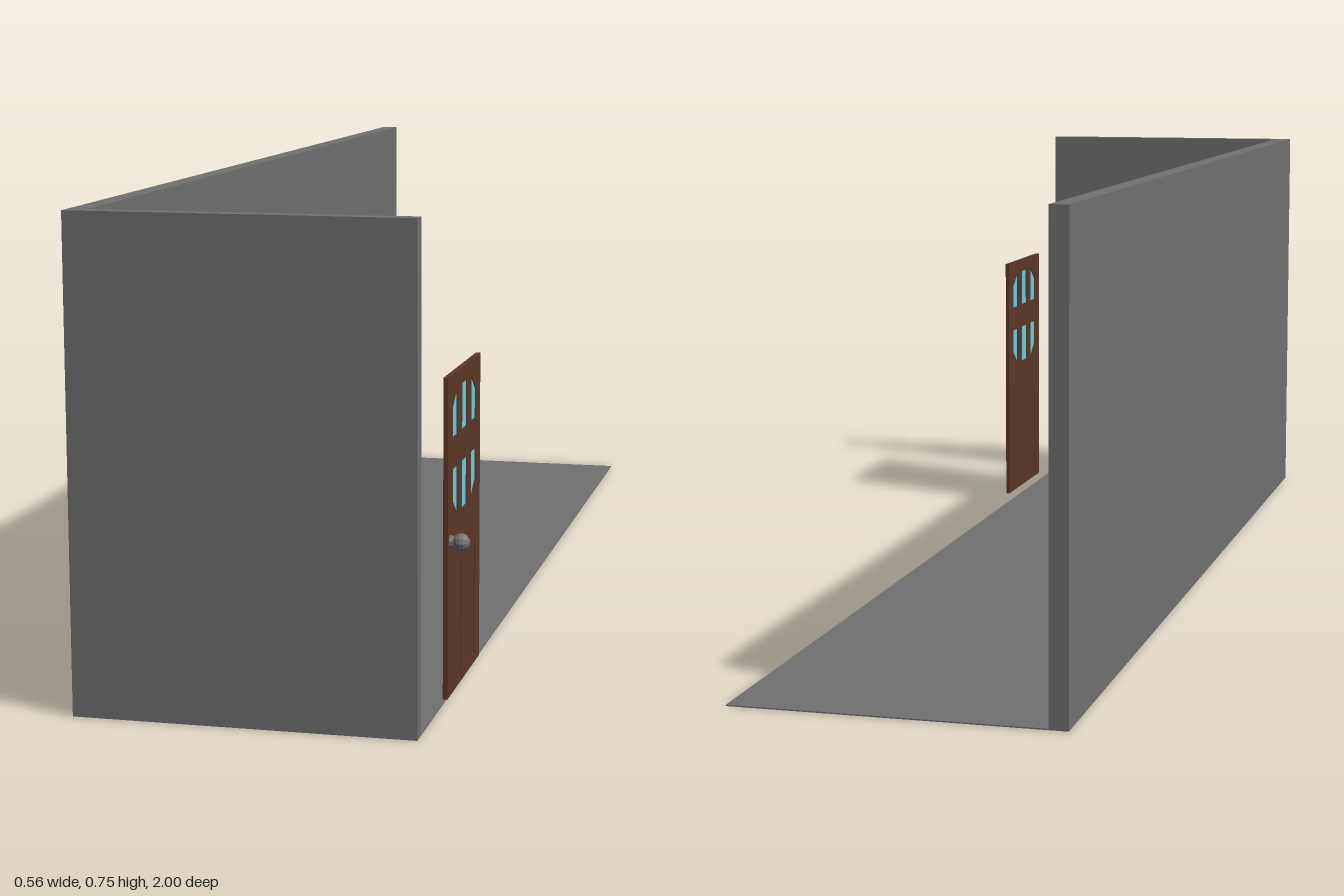
import * as THREE from 'three';

const material = (color) => new THREE.MeshStandardMaterial({ color, flatShading: true });

function add(parent, name, geometry, mat) {
  const mesh = new THREE.Mesh(geometry, mat);
  mesh.name = name;
  parent.add(mesh);
  return mesh;
}

const polygon = (points) => new THREE.Shape(points.map(([x, y]) => new THREE.Vector2(x, y)));
const extrude = (shape, depth) => new THREE.ExtrudeGeometry(shape, { depth, bevelEnabled: false });
const rectangle = (x0, x1, y0, y1) => [[x0, y0], [x1, y0], [x1, y1], [x0, y1]];

// Door lies in its own x/y plane, facing +z, centred on x
function createDoor(grey) {
  const door = new THREE.Group();
  door.name = 'door';
  const wood = material(0x5c3828);
  const glass = material(0x66d0e4);
  const thickness = 0.007;

  // Six panes: the four outer ones have a slanted outer corner
  const panes = [];
  for (const [inner, corner, outer] of [[0.407, 0.453, 0.478], [0.359, 0.311, 0.285]]) {
    panes.push(rectangle(-0.018, 0.018, Math.min(inner, outer), Math.max(inner, outer)));
    for (const side of [-1, 1]) {
      panes.push([[side * 0.053, inner], [side * 0.087, inner], [side * 0.087, corner], [side * 0.053, outer]]);
    }
  }
  // Two recessed lower panels
  const panels = [-1, 1].map((s) => rectangle(s * 0.02, s * 0.085, 0.03, 0.212));

  const frame = polygon(rectangle(-0.123, 0.123, 0.015, 0.503));
  for (const outline of [...panes, ...panels]) frame.holes.push(polygon(outline));
  add(door, 'doorFrame', extrude(frame, thickness), wood);

  for (const outline of panes) {
    add(door, 'windowPane', extrude(polygon(outline), 0.004), glass).position.z = 0.0015;
  }
  for (const outline of panels) {
    add(door, 'doorPanel', extrude(polygon(outline), 0.004), wood).position.z = 0.0015;
  }

  // Round knob on a thick neck, standing out from the door
  const neck = new THREE.CylinderGeometry(0.008, 0.0105, 0.013, 10);
  neck.rotateX(Math.PI / 2);
  add(door, 'knobNeck', neck, grey).position.set(-0.105, 0.253, thickness + 0.0065);
  const knob = new THREE.SphereGeometry(0.0138, 10, 8);
  knob.rotateX(Math.PI / 2);
  add(door, 'doorKnob', knob, grey).position.set(-0.105, 0.253, 0.0233);
  return door;
}

export function createModel() {
  const model = new THREE.Group();
  model.name = 'hallway';
  const grey = material(0x717171);

  // L-shaped wall, drawn in plan (x, -z) and raised
  const plan = polygon([[-0.283, -1], [0.24, -1], [0.24, -0.975], [-0.253, -0.975], [-0.253, 1], [-0.283, 1]]);
  const walls = extrude(plan, 0.752);
  walls.rotateX(-Math.PI / 2);
  add(model, 'walls', walls, grey);

  // Thin floor inside the walls
  add(model, 'floor', new THREE.BoxGeometry(0.493, 0.002, 1.975), grey).position.set(-0.0065, 0.001, -0.0125);

  // Door stands just outside the open long side
  const door = createDoor(grey);
  door.rotation.y = Math.PI / 2;
  door.position.set(0.2442, 0, 0.721);
  model.add(door);

  return model;
}
